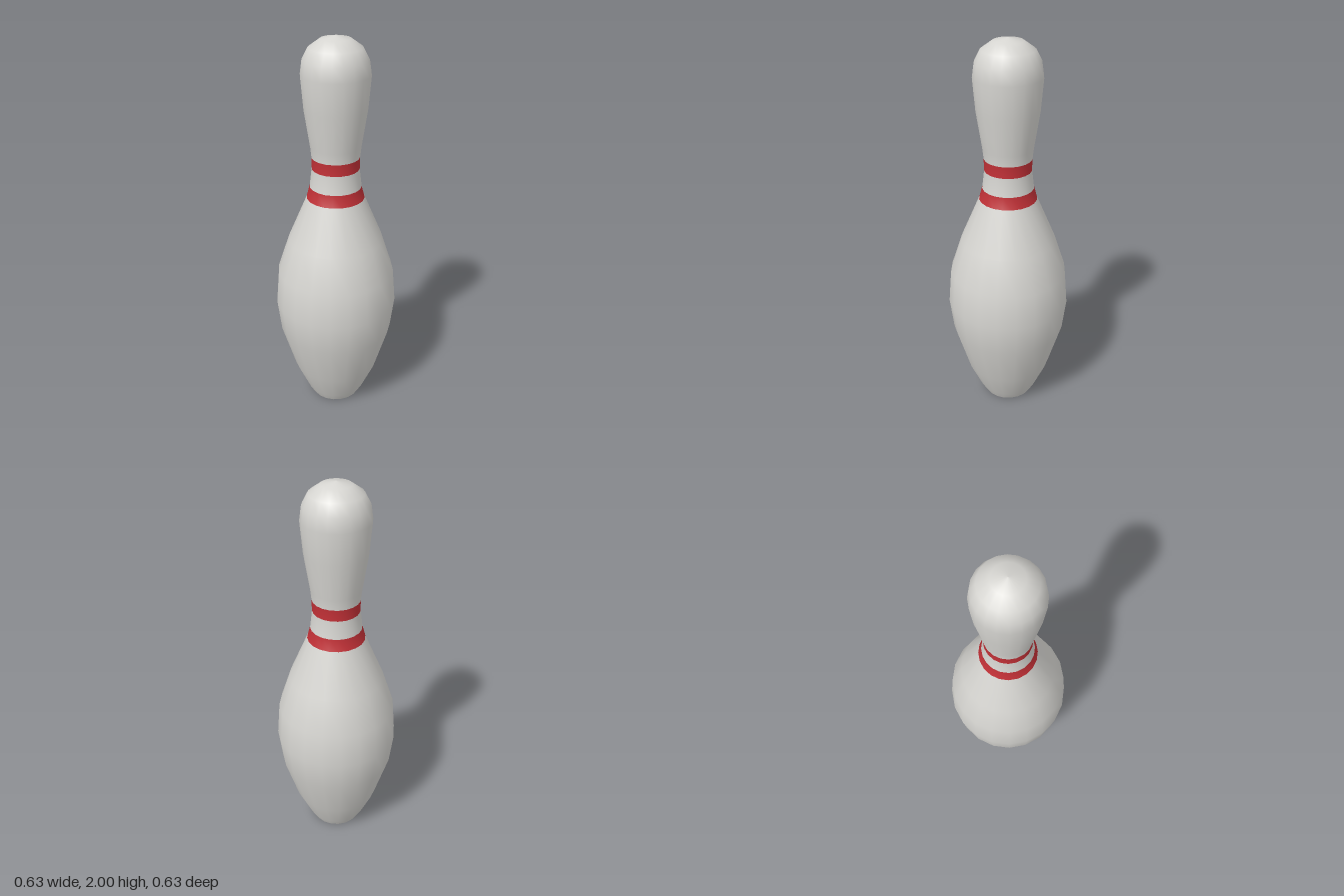
import * as THREE from 'three';

const SIDES = 20;
const white = new THREE.MeshStandardMaterial({ name: 'ivory white', color: 0xd6d5d1 });
const red = new THREE.MeshStandardMaterial({ name: 'stripe red', color: 0xc03036 });

// Outline from base to crown: radius, height
const profile = [
  [0.132, 0], [0.16, 0.05], [0.226, 0.2], [0.297, 0.44], [0.317, 0.61], [0.302, 0.79],
  [0.243, 0.97], [0.146, 1.2], [0.13, 1.26], [0.119, 1.355], [0.12, 1.415],
  [0.126, 1.47], [0.155, 1.66], [0.168, 1.82], [0.158, 1.89], [0.129, 1.945],
  [0.073, 1.985], [0, 2],
].map(([r, y]) => new THREE.Vector2(r, y));

// Rows of the outline that make up each part
const sections = [
  ['body', 0, 7, white],
  ['lowerStripe', 7, 8, red],
  ['neck', 8, 9, white],
  ['upperStripe', 9, 10, red],
  ['head', 10, profile.length - 1, white],
];

export function createModel() {
  const pin = new THREE.Group();
  pin.name = 'bowlingPin';

  // One lathe shared by all sections keeps the shading smooth across the stripes
  const lathe = new THREE.LatheGeometry(profile, SIDES);
  const rows = profile.length;
  for (const [name, from, to, material] of sections) {
    const index = [];
    for (let i = 0; i < SIDES; i++) {
      for (let j = from; j < to; j++) {
        const a = i * rows + j, b = a + rows;
        index.push(a, b, a + 1);
        index.push(b + 1, a + 1, b);
      }
    }
    const geometry = lathe.clone().setIndex(index);
    const mesh = new THREE.Mesh(geometry, material);
    mesh.name = name;
    pin.add(mesh);
  }

  // Flat underside
  const base = new THREE.Mesh(new THREE.CircleGeometry(profile[0].x, SIDES), white);
  base.rotation.x = Math.PI / 2;
  base.name = 'base';
  pin.add(base);

  return pin;
}
